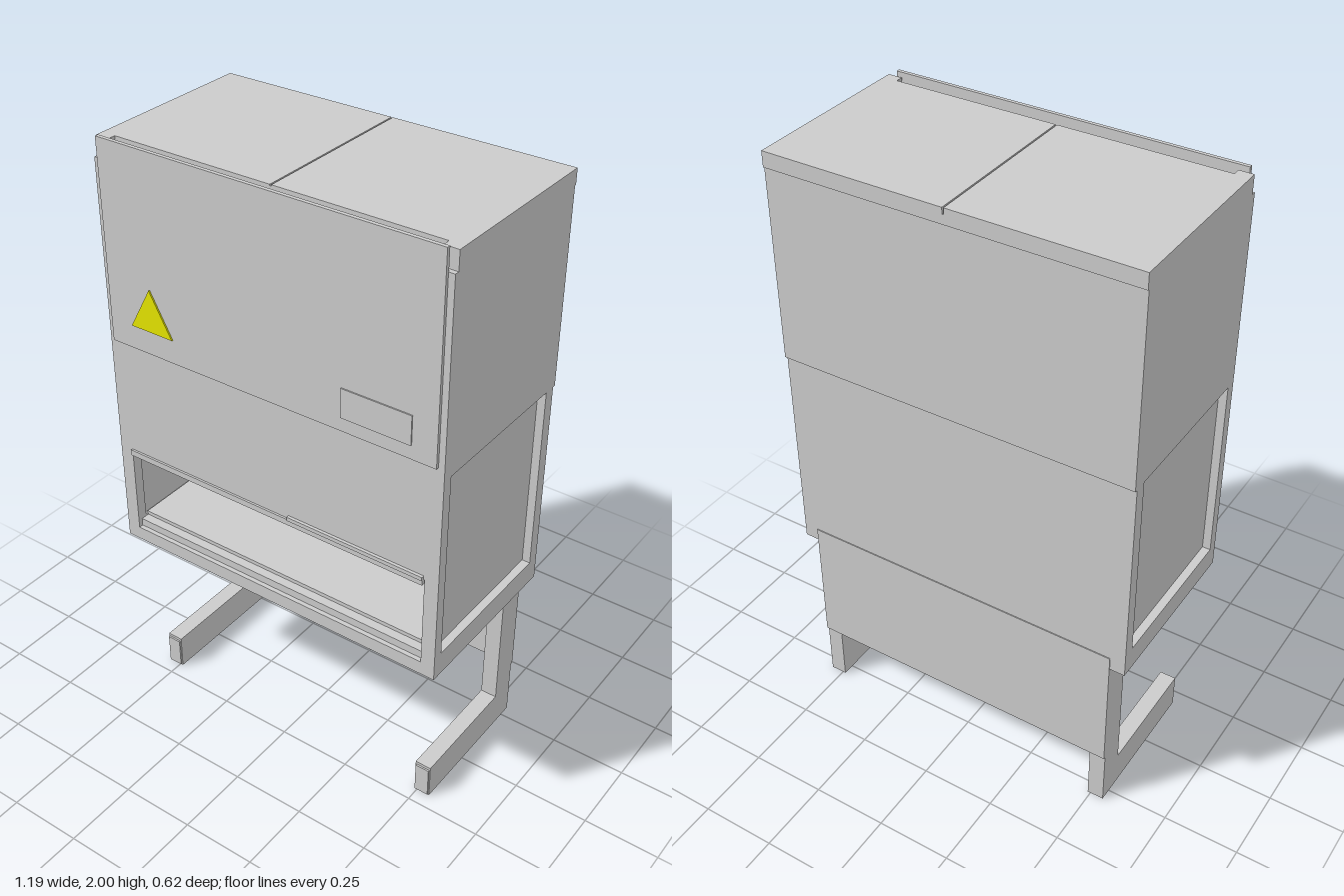
import * as THREE from 'three';

const grey = new THREE.MeshStandardMaterial({ color: 0xcccccc });
const yellow = new THREE.MeshStandardMaterial({ color: 0xe6e600 });

export function createModel() {
  const model = new THREE.Group();
  model.name = 'safetyCabinet';

  const add = (name, geometry, material = grey) => {
    const mesh = new THREE.Mesh(geometry, material);
    mesh.name = name;
    model.add(mesh);
    return mesh;
  };
  // Box given by its limits on each axis
  const box = (name, x0, x1, y0, y1, z0, z1) =>
    add(name, new THREE.BoxGeometry(x1 - x0, y1 - y0, z1 - z0)
      .translate((x0 + x1) / 2, (y0 + y1) / 2, (z0 + z1) / 2));
  const points = (list) => list.map(([a, b]) => new THREE.Vector2(a, b));
  // Extrude a (z, y) outline sideways so that it ends at x = xMax
  const sideExtrude = (name, shape, width, xMax) =>
    add(name, new THREE.ExtrudeGeometry(shape, { depth: width, bevelEnabled: false })
      .rotateY(-Math.PI / 2).translate(xMax, 0, 0));

  // Side walls with window cut-outs
  const wall = new THREE.Shape(points([
    [-0.295, 0.6], [0.295, 0.6], [0.295, 1.93], [0.28, 1.93], [0.28, 1.99],
    [-0.31, 1.99], [-0.31, 1.94], [-0.305, 1.94], [-0.305, 1.31], [-0.295, 1.31],
  ]));
  wall.holes.push(new THREE.Path(points([
    [-0.255, 0.68], [-0.255, 1.31], [0.26, 1.31], [0.26, 0.68],
  ])));

  // L-shaped leg outline
  const leg = new THREE.Shape(points([
    [-0.29, 0], [0.2, 0], [0.2, 0.12], [-0.2, 0.12], [-0.2, 0.64], [-0.29, 0.64],
  ]));

  for (const s of [-1, 1]) {
    const side = s > 0 ? 'left' : 'right';
    sideExtrude(side + 'Wall', wall, 0.047, s > 0 ? 0.595 : -0.548);
    const g = s * 0.562;
    box(side + 'Window', g - 0.006, g + 0.006, 0.67, 1.32, -0.265, 0.27);
    sideExtrude(side + 'Leg', leg, 0.055, s > 0 ? 0.545 : -0.49);
    const c = s * 0.5175;
    box(side + 'FootCap', c - 0.024, c + 0.024, 0.005, 0.11, 0.199, 0.206);
    // Roof halves with a narrow seam between them
    const a = s * 0.0025, b = s * 0.55;
    box(side + 'Roof', Math.min(a, b), Math.max(a, b), 1.96, 1.99, -0.31, 0.255);
  }
  box('roofSeam', -0.003, 0.003, 1.96, 1.986, -0.29, 0.255);

  // Back panels, stepping outwards towards the top
  box('lowerBack', -0.55, 0.55, 0.6, 1.31, -0.295, -0.27);
  box('upperBack', -0.55, 0.55, 1.31, 1.96, -0.305, -0.27);
  box('backCapLip', -0.55, 0.55, 1.94, 1.97, -0.31, -0.3);
  box('standBackPlate', -0.545, 0.545, 0.2, 0.645, -0.298, -0.288);

  // Work chamber
  box('workFloor', -0.55, 0.55, 0.645, 0.685, -0.27, 0.25);
  box('chamberBack', -0.55, 0.55, 0.685, 1.31, -0.23, -0.21);
  box('chamberCeiling', -0.55, 0.55, 1.31, 1.33, -0.27, 0.255);
  box('chamberSidePanel', 0.525, 0.55, 0.685, 0.94, -0.21, -0.19);
  box('sill', -0.55, 0.55, 0.64, 0.672, 0.25, 0.28);
  box('frontSkirt', -0.55, 0.55, 0.6, 0.646, 0.272, 0.295);

  // Socket on the chamber back
  box('socketPlate', 0.345, 0.42, 0.795, 0.885, -0.21, -0.2);

  // Gas tap: round knob with a short spout
  add('tapKnob', new THREE.CylinderGeometry(0.018, 0.018, 0.03, 20)
    .rotateX(Math.PI / 2).translate(-0.47, 0.84, -0.195));
  add('tapSpout', new THREE.CylinderGeometry(0.005, 0.007, 0.06, 12)
    .translate(-0.47, 0.8, -0.187));

  // Front sash, its grip and the raised fascia
  box('sash', -0.55, 0.55, 0.955, 1.93, 0.28, 0.295);
  box('sashGrip', -0.548, 0.545, 0.937, 0.957, 0.283, 0.302);
  box('sashGripCap', 0.07, 0.545, 0.955, 0.968, 0.29, 0.305);
  box('fascia', -0.575, 0.575, 1.35, 2.0, 0.293, 0.305);
  box('controlPanel', 0.265, 0.495, 1.395, 1.49, 0.304, 0.309);

  // Warning triangle
  const triangle = new THREE.Shape(points([[-0.49, 1.43], [-0.335, 1.43], [-0.4125, 1.57]]));
  add('warningTriangle', new THREE.ExtrudeGeometry(triangle, { depth: 0.006, bevelEnabled: false })
    .translate(0, 0, 0.304), yellow);

  return model;
}
